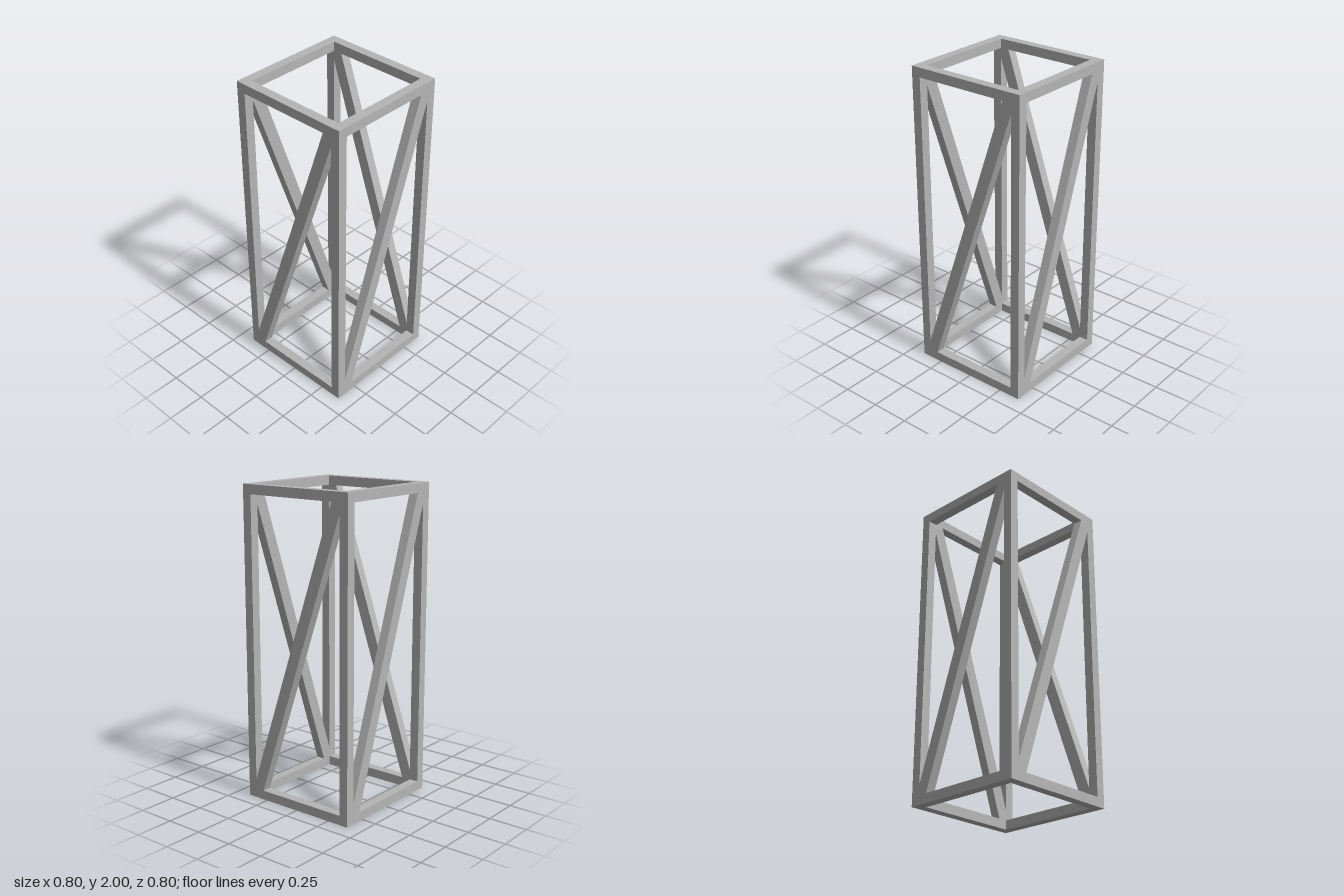
import * as THREE from 'three';

const HEIGHT = 2, HALF = 0.4, BAR = 0.06;
const INNER = HALF - BAR;      // inner edge of the posts
const CENTRE = HALF - BAR / 2; // centre line of the bars

export function createModel() {
  const model = new THREE.Group();
  model.name = 'bracedTowerFrame';
  const grey = new THREE.MeshStandardMaterial({ color: 0xb5b5b5 });
  grey.name = 'grey';

  const postGeometry = new THREE.BoxGeometry(BAR, HEIGHT, BAR);
  const railGeometry = new THREE.BoxGeometry(2 * INNER, BAR, BAR);

  // Diagonal brace, trimmed to fit the two opposite corners of a panel
  const low = BAR, high = HEIGHT - BAR;
  const outline = new THREE.Shape([
    [-INNER, low], [-INNER + 0.06, low], [INNER, high - 0.065],
    [INNER, high], [INNER - 0.06, high], [-INNER, low + 0.065],
  ].map(([x, y]) => new THREE.Vector2(x, y)));
  const braceGeometry = new THREE.ExtrudeGeometry(outline, { depth: BAR, bevelEnabled: false });

  const add = (parent, name, geometry, x, y, z) => {
    const mesh = new THREE.Mesh(geometry, grey);
    mesh.name = name;
    mesh.position.set(x, y, z);
    parent.add(mesh);
  };

  // Four identical sides, each turned a quarter from the last
  ['front', 'left', 'back', 'right'].forEach((name, i) => {
    const side = new THREE.Group();
    side.name = name + 'Side';
    add(side, 'cornerPost', postGeometry, CENTRE, HEIGHT / 2, CENTRE);
    add(side, 'bottomRail', railGeometry, 0, BAR / 2, CENTRE);
    add(side, 'topRail', railGeometry, 0, HEIGHT - BAR / 2, CENTRE);
    add(side, 'diagonalBrace', braceGeometry, 0, 0, INNER);
    side.rotation.y = i * Math.PI / 2;
    model.add(side);
  });

  return model;
}
